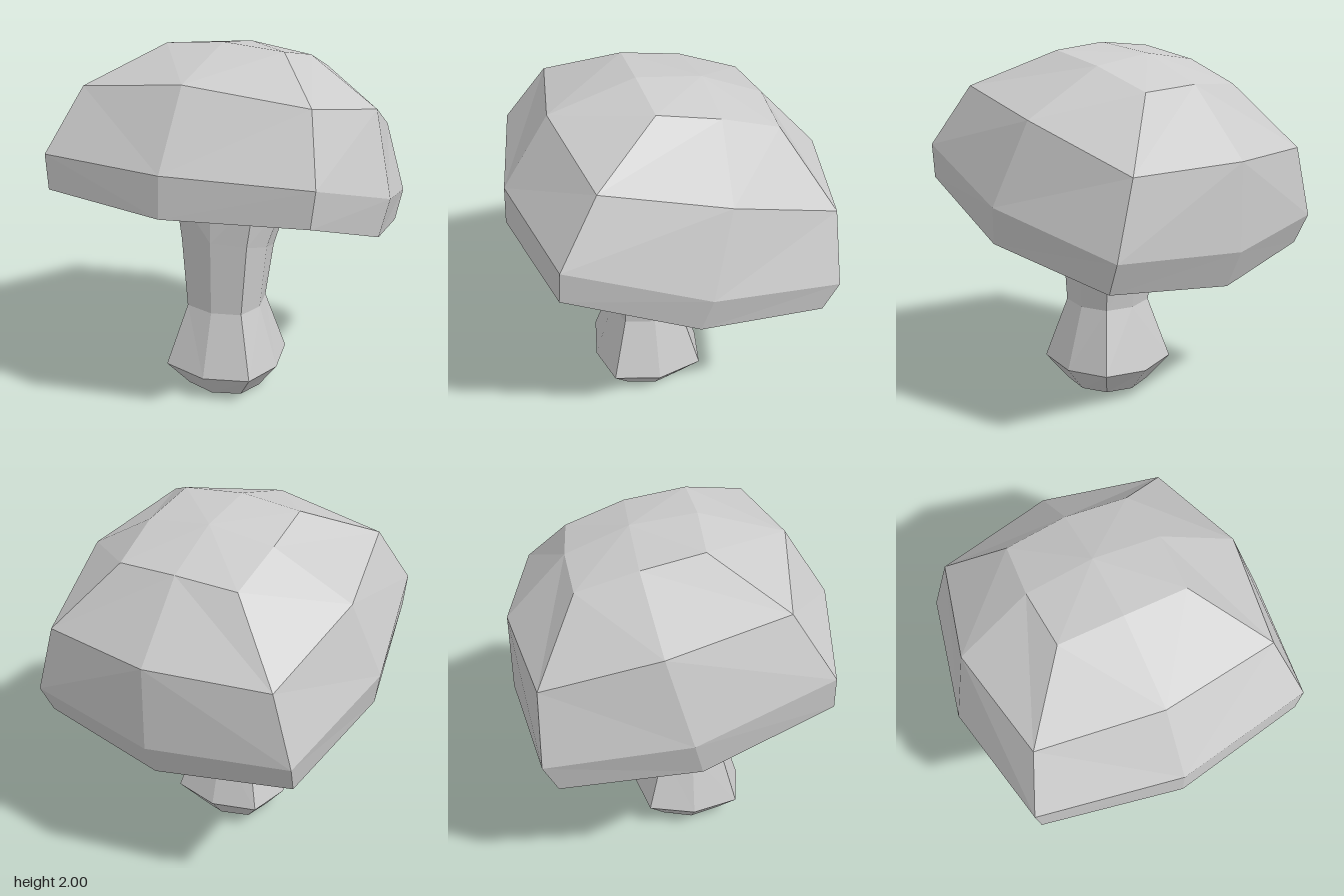
import * as THREE from 'three';

const grey = new THREE.MeshStandardMaterial({ color: 0xcccccc, flatShading: true });

// Five points run from the front middle round the left side to the back middle;
// the other side is mirrored, giving an eight-sided ring.
function ring(half) {
  const mirrored = half.slice(1, 4).reverse().map(([x, y, z]) => [-x, y, z]);
  return [...half, ...mirrored];
}

// Skin a stack of rings from bottom to top and close both ends with a fan.
function loft(name, bottom, halves, top) {
  const rings = halves.map(ring);
  const pos = [];
  const tri = (a, b, c) => pos.push(...a, ...b, ...c);
  const first = rings[0], last = rings[rings.length - 1];
  for (let i = 0; i < 8; i++) {
    const j = (i + 1) % 8;
    tri(bottom, first[j], first[i]);
    for (let k = 0; k < rings.length - 1; k++) {
      const a = rings[k], b = rings[k + 1];
      if (i < 4) { // diagonals mirror across the middle
        tri(a[i], a[j], b[j]);
        tri(a[i], b[j], b[i]);
      } else {
        tri(a[i], a[j], b[i]);
        tri(a[j], b[j], b[i]);
      }
    }
    tri(top, last[i], last[j]);
  }
  const geo = new THREE.BufferGeometry();
  geo.setAttribute('position', new THREE.Float32BufferAttribute(pos, 3));
  geo.computeVertexNormals();
  const mesh = new THREE.Mesh(geo, grey);
  mesh.name = name;
  return mesh;
}

// Level ring of the stem: mid = reach of the side middles, corner = reach of the corners.
const level = (mid, midY, corner, cornerY, z = 0.108) => [
  [0, midY, z + mid], [corner, cornerY, z + corner], [mid, midY, z],
  [corner, cornerY, z - corner], [0, midY, z - mid],
];

export function createModel() {
  const group = new THREE.Group();
  group.name = 'mushroom';

  // Tilted cap with a recessed underside
  group.add(loft('cap', [0, 1.1, 0], [
    [[0, 1.24, 0.57], [0.48, 1.235, 0.48], [0.6, 1.09, 0], [0.48, 0.97, -0.45], [0, 0.94, -0.53]],
    [[0, 1.235, 0.88], [0.745, 1.25, 0.74], [0.87, 1.005, 0.05], [0.745, 0.86, -0.68], [0, 0.775, -0.795]],
    [[0, 1.455, 0.87], [0.765, 1.44, 0.73], [0.91, 1.21, 0], [0.765, 1.03, -0.755], [0, 0.975, -0.885]],
    [[0, 1.855, 0.615], [0.65, 1.775, 0.51], [0.775, 1.655, -0.13], [0.65, 1.43, -0.745], [0, 1.445, -0.88]],
    [[0, 2, 0.145], [0.345, 1.97, 0.135], [0.365, 1.905, -0.2], [0.34, 1.79, -0.525], [0, 1.81, -0.55]],
  ], [0, 1.955, -0.21]));

  // Stem with a bulbous foot, leaning back where it meets the cap
  group.add(loft('stem', [0, 0, 0.108], [
    level(0.205, 0, 0.165, 0.01),
    level(0.315, 0.14, 0.26, 0.155),
    level(0.207, 0.5, 0.168, 0.505),
    [[0, 0.92, 0.32], [0.2, 0.91, 0.275], [0.24, 0.86, 0.095], [0.2, 0.81, -0.1], [0, 0.805, -0.14]],
    [[0, 1.185, 0.31], [0.24, 1.18, 0.27], [0.302, 1.105, 0.02], [0.24, 1.045, -0.22], [0, 1.03, -0.27]],
  ], [0, 1.105, 0.02]));

  return group;
}
